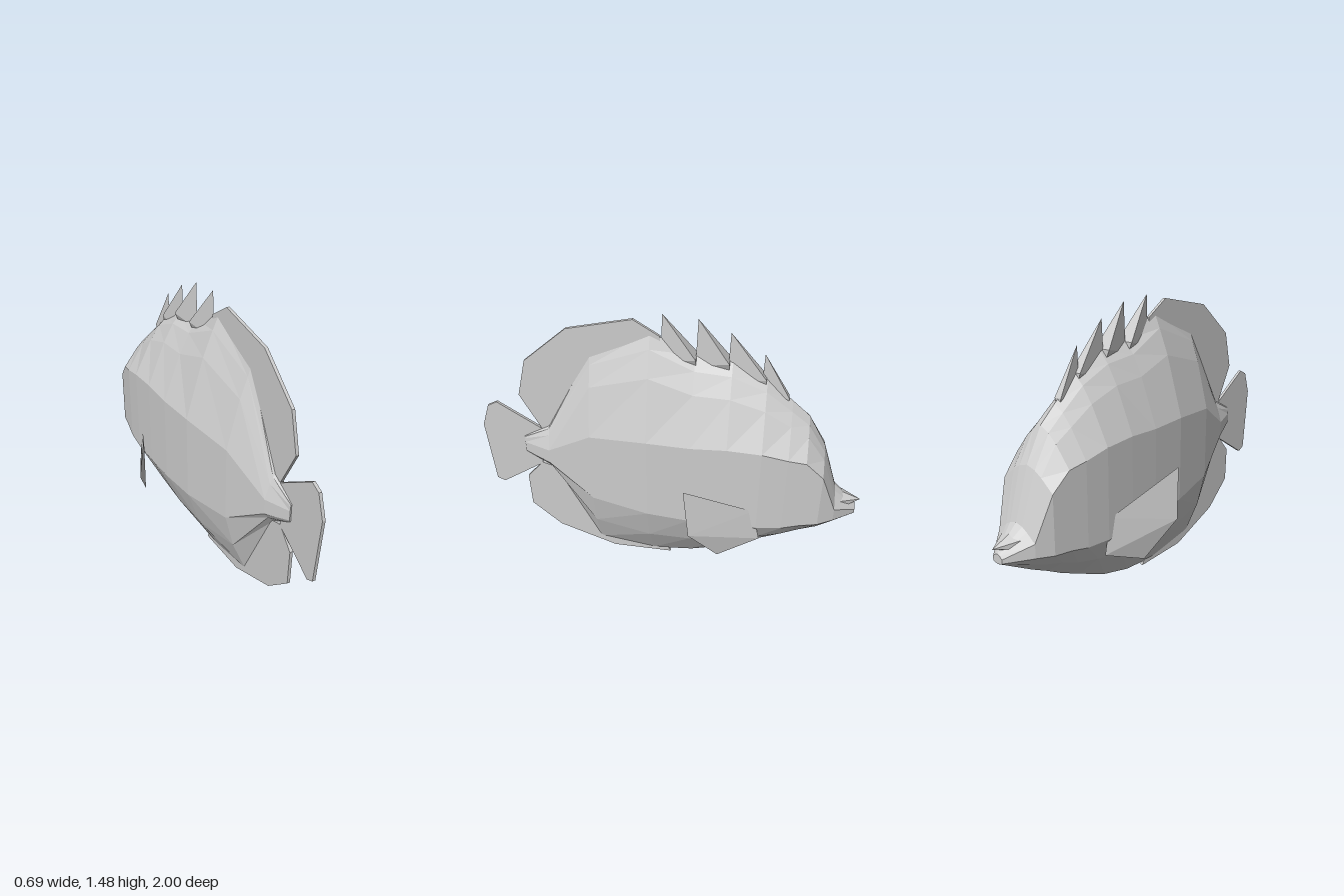
import * as THREE from 'three';
import { ConvexGeometry } from 'three/addons/geometries/ConvexGeometry.js';

const lerp = THREE.MathUtils.lerp;

// Body stations, tail to mouth: z, ridge y, ridge half width, flank half width, shoulder y, chin y, keel y
const STATIONS = [
  [0.78, 0.73, 0.012, 0.015, 0.69, 0.64, 0.62],
  [0.64, 0.81, 0.02, 0.06, 0.68, 0.6, 0.54],
  [0.4, 1.25, 0.02, 0.125, 0.83, 0.44, 0.06],
  [0.1, 1.38, 0.035, 0.18, 0.86, 0.41, 0.01],
  [-0.12, 1.27, 0.05, 0.195, 0.86, 0.4, 0.025],
  [-0.3, 1.25, 0.05, 0.2, 0.87, 0.4, 0.07],
  [-0.47, 1.17, 0.05, 0.2, 0.86, 0.4, 0.145],
  [-0.6, 1.06, 0.05, 0.19, 0.83, 0.405, 0.205],
  [-0.69, 0.98, 0.05, 0.175, 0.81, 0.42, 0.255],
  [-0.78, 0.82, 0.05, 0.16, 0.72, 0.425, 0.3],
  [-0.86, 0.57, 0.04, 0.12, 0.5, 0.43, 0.345],
  [-0.975, 0.46, 0.01, 0.03, 0.44, 0.42, 0.41],
];

// One closed ring: ridge, left flank down to the keel, then its mirror back up
function ring([z, top, ridge, w, shoulder, chin, keel]) {
  const flank = [
    [ridge, lerp(top, shoulder, 0.15)],
    [lerp(ridge, w, 0.36), lerp(top, shoulder, 0.4)],
    [w, shoulder],
    [w, chin],
    [w * 0.63, lerp(chin, keel, 0.5)],
  ];
  const mirrored = flank.map(([x, y]) => [-x, y]).reverse();
  return [[0, top], ...flank, [0, keel], ...mirrored].flatMap(([x, y]) => [x, y, z]);
}

function bodyGeometry() {
  const n = 12, last = (STATIONS.length - 1) * n, idx = [];
  for (let r = 0; r < last; r += n) {
    for (let j = 0; j < n; j++) {
      const a = r + j, b = r + (j + 1) % n, c = a + n, d = b + n;
      // Mirrored diagonals keep both flanks alike
      if (j < n / 2) idx.push(a, b, c, b, d, c);
      else idx.push(a, b, d, a, d, c);
    }
  }
  for (let j = 1; j < n - 1; j++) {
    idx.push(0, j + 1, j, last, last + j, last + j + 1);
  }
  const g = new THREE.BufferGeometry();
  g.setAttribute('position', new THREE.Float32BufferAttribute(STATIONS.flatMap(ring), 3));
  g.setIndex(idx);
  const flat = g.toNonIndexed();
  flat.computeVertexNormals();
  return flat;
}

// Thin upright fin on the centre plane from a [z, y] outline
function finGeometry(outline) {
  const depth = 0.016;
  const shape = new THREE.Shape(outline.map(([z, y]) => new THREE.Vector2(z, y)));
  const g = new THREE.ExtrudeGeometry(shape, { depth, bevelEnabled: false });
  return g.translate(0, 0, -depth / 2).rotateY(-Math.PI / 2);
}

const hull = (points) => new ConvexGeometry(points.map((p) => new THREE.Vector3(...p)));

export function createModel() {
  const group = new THREE.Group();
  const grey = new THREE.MeshStandardMaterial({ color: 0xcccccc });
  grey.name = 'pale grey';
  grey.flatShading = true;
  const add = (name, geometry) => {
    const mesh = new THREE.Mesh(geometry, grey);
    mesh.name = name;
    group.add(mesh);
  };

  add('body', bodyGeometry());

  // Fins on the centre plane
  add('dorsalFin', finGeometry([[0.05, 1.36], [0.18, 1.44], [0.51, 1.37], [0.735, 1.18],
    [0.785, 0.98], [0.68, 0.78], [0.5, 0.8], [0.05, 1.2]]));
  add('analFin', finGeometry([[0.7, 0.56], [0.79, 0.46], [0.785, 0.27], [0.63, 0.13],
    [0.32, 0.01], [0, 0], [0.1, 0.2], [0.5, 0.5]]));
  add('tailFin', finGeometry([[0.68, 0.78], [0.91, 0.925], [0.96, 0.9], [1, 0.78],
    [0.97, 0.43], [0.93, 0.41], [0.7, 0.555]]));

  // Back spines: tip z, tip y, front z, front y, half width
  for (const [tz, ty, fz, fy, w] of [
    [0.04, 1.475, -0.125, 1.265, 0.045],
    [-0.13, 1.46, -0.285, 1.255, 0.045],
    [-0.285, 1.4, -0.465, 1.175, 0.03],
    [-0.45, 1.3, -0.58, 1.08, 0.02],
  ]) {
    add('backSpine', hull([[0, ty, tz], [w, fy, fz], [-w, fy, fz],
      [0, fy - 0.04, tz + 0.01], [0, fy - 0.1, fz]]));
  }

  // Side fins flaring backwards
  for (const s of [1, -1]) {
    add(s > 0 ? 'leftSideFin' : 'rightSideFin', hull([[s * 0.19, 0.5, -0.45],
      [s * 0.325, 0.69, -0.105], [s * 0.345, 0.43, -0.135],
      [s * 0.255, 0.24, -0.28], [s * 0.19, 0.32, -0.49]]));
  }

  // Pointed upper lip
  const lip = new THREE.ConeGeometry(0.1, 0.15, 6).rotateX(-Math.PI / 2);
  add('upperLip', lip.scale(1, 0.6, 1).translate(0, 0.49, -0.925));
  return group;
}
